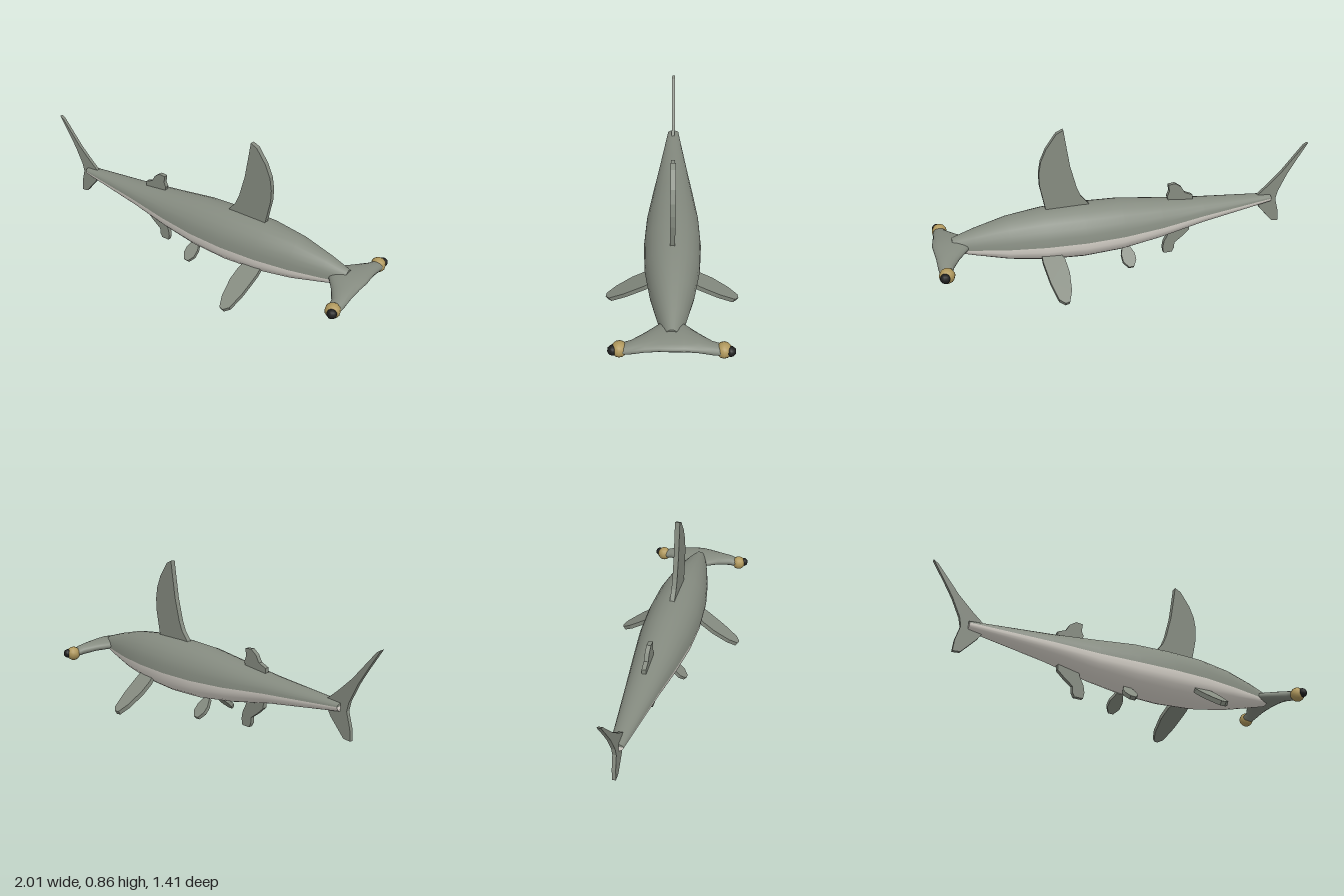
import * as THREE from 'three';

const mat = (name, color) => {
  const m = new THREE.MeshStandardMaterial({ color });
  m.name = name;
  return m;
};

// Skin over rings of points, smooth along the sides, with flat end caps
function loft(rings, closed) {
  const pos = [], idx = [];
  const n = rings[0].length;
  const spans = closed ? n : n - 1;
  rings.forEach(r => r.forEach(p => pos.push(...p)));
  for (let i = 0; i < rings.length - 1; i++) {
    for (let j = 0; j < spans; j++) {
      const a = i * n + j, d = i * n + (j + 1) % n;
      idx.push(a, a + n, d + n, a, d + n, d);
    }
  }
  [rings[0], rings[rings.length - 1]].forEach((r, end) => {
    const base = pos.length / 3;
    r.forEach(p => pos.push(...p));
    const last = closed ? r[n / 2] : r[n - 1];
    pos.push(...r[0].map((v, k) => (v + last[k]) / 2));
    for (let j = 0; j < spans; j++) {
      const a = base + j, b = base + (j + 1) % n;
      if (end) idx.push(base + n, b, a);
      else idx.push(base + n, a, b);
    }
  });
  const g = new THREE.BufferGeometry();
  g.setAttribute('position', new THREE.Float32BufferAttribute(pos, 3));
  g.setIndex(idx);
  g.computeVertexNormals();
  return g;
}

// Flat plate cut from an outline, centred on its own plane
function plate(points, depth) {
  const shape = new THREE.Shape(points.map(p => new THREE.Vector2(...p)));
  const g = new THREE.ExtrudeGeometry(shape, { depth, bevelEnabled: false });
  g.translate(0, 0, -depth / 2);
  return g;
}

export function createModel() {
  const grey = mat('greySkin', 0x858b80);
  const cream = mat('creamBelly', 0xe4dfd6);
  const tan = mat('tanEye', 0xb0985c);
  const black = mat('blackPupil', 0x1e1e1e);

  const model = new THREE.Group();
  model.name = 'hammerheadShark';
  const shark = new THREE.Group();
  shark.name = 'shark';
  shark.rotation.y = -0.555;
  shark.position.set(0.032, 0, -0.051);
  model.add(shark);

  const add = (name, geometry, material, x = 0, y = 0, z = 0) => {
    const mesh = new THREE.Mesh(geometry, material);
    mesh.name = name;
    mesh.position.set(x, y, z);
    shark.add(mesh);
    return mesh;
  };

  // Body stations: position, half width, bottom, colour line, top
  const stations = [
    [-1.0, 0.035, 0.29, 0.318, 0.335], [-0.56, 0.09, 0.215, 0.287, 0.362],
    [-0.3, 0.125, 0.157, 0.262, 0.386], [-0.07, 0.152, 0.12, 0.25, 0.41],
    [0.15, 0.161, 0.107, 0.245, 0.414], [0.37, 0.15, 0.115, 0.243, 0.409],
    [0.57, 0.118, 0.143, 0.24, 0.383], [0.75, 0.075, 0.185, 0.24, 0.335],
    [0.87, 0.04, 0.215, 0.24, 0.295],
  ];
  const half = upper => stations.map(([x, w, bottom, line, top]) =>
    Array.from({ length: 13 }, (_, j) => {
      const t = Math.PI * (j / 12 + (upper ? 0 : 1));
      const h = upper ? top - line : line - bottom;
      return [x, line + h * Math.sin(t), w * Math.cos(t)];
    }));
  add('back', loft(half(true), false), grey);
  add('belly', loft(half(false), false), cream);

  // Hammer head stations: sideways distance, rear, front, bottom, top
  const side = [
    [0.26, 0.89, 0.955, 0.19, 0.237], [0.2, 0.882, 0.962, 0.198, 0.255],
    [0.13, 0.84, 0.965, 0.212, 0.27], [0.06, 0.785, 0.972, 0.222, 0.28],
  ];
  const across = [
    ...side.map(([w, ...rest]) => [-w, ...rest]),
    [0, 0.76, 0.978, 0.225, 0.284],
    ...side.slice().reverse(),
  ];
  const headRings = across.map(([w, rear, front, bottom, top]) =>
    Array.from({ length: 16 }, (_, j) => {
      const t = -j / 16 * Math.PI * 2;
      return [
        (rear + front) / 2 + (front - rear) / 2 * Math.cos(t),
        (bottom + top) / 2 + (top - bottom) / 2 * Math.sin(t), w,
      ];
    }));
  add('hammerHead', loft(headRings, true), grey);

  // Upright fins
  add('dorsalFin', plate([
    [0.104, 0.38], [0.104, 0.41], [0.15, 0.465], [0.174, 0.52], [0.209, 0.65],
    [0.233, 0.8], [0.242, 0.86], [0.28, 0.842], [0.339, 0.76], [0.37, 0.69],
    [0.382, 0.62], [0.38, 0.55], [0.345, 0.38],
  ], 0.028), grey);

  add('rearDorsalFin', plate([
    [-0.508, 0.35], [-0.508, 0.393], [-0.461, 0.412], [-0.438, 0.45],
    [-0.402, 0.475], [-0.361, 0.47], [-0.367, 0.43], [-0.355, 0.4], [-0.367, 0.35],
  ], 0.024), grey);

  add('analFin', plate([
    [-0.498, 0.23], [-0.498, 0.17], [-0.455, 0.13], [-0.41, 0.095],
    [-0.408, 0.06], [-0.395, 0.036], [-0.345, 0.035], [-0.338, 0.07],
    [-0.345, 0.11], [-0.37, 0.16], [-0.38, 0.21],
  ], 0.024), grey);

  add('tailFin', plate([
    [-1.214, 0.64], [-1.19, 0.625], [-1.061, 0.47], [-0.979, 0.39],
    [-0.908, 0.328], [-0.908, 0.308], [-0.944, 0.25], [-1.026, 0.16],
    [-1.067, 0.157], [-1.061, 0.22], [-1.038, 0.3], [-1.049, 0.35],
    [-1.096, 0.45], [-1.144, 0.53],
  ], 0.02), grey);

  // Paired fins slope outward and down from the belly
  const pectoral = [
    [0.3, 0], [0.277, 0.06], [0.268, 0.14], [0.278, 0.25], [0.3, 0.312],
    [0.325, 0.318], [0.355, 0.293], [0.382, 0.19], [0.4, 0.06], [0.4, 0],
  ];
  const pelvic = [
    [-0.12, 0], [-0.143, 0.05], [-0.145, 0.09], [-0.125, 0.128],
    [-0.095, 0.13], [-0.068, 0.095], [-0.065, 0.05], [-0.08, 0],
  ];
  for (const s of [1, -1]) {
    const label = s > 0 ? 'right' : 'left';
    add(label + 'PectoralFin',
      plate(pectoral, 0.026).rotateX(s * (Math.PI / 2 + 0.576)), grey, 0, 0.184, s * 0.1);
    add(label + 'PelvicFin',
      plate(pelvic, 0.022).rotateX(s * (Math.PI / 2 + 0.76)), grey, 0, 0.13, s * 0.04);

    // Eyes at the ends of the hammer
    add(label + 'Eye', new THREE.SphereGeometry(0.042, 10, 8), tan, 0.922, 0.215, s * 0.256);
    add(label + 'Pupil', new THREE.SphereGeometry(0.027, 10, 8), black, 0.934, 0.218, s * 0.288);
  }
  return model;
}
